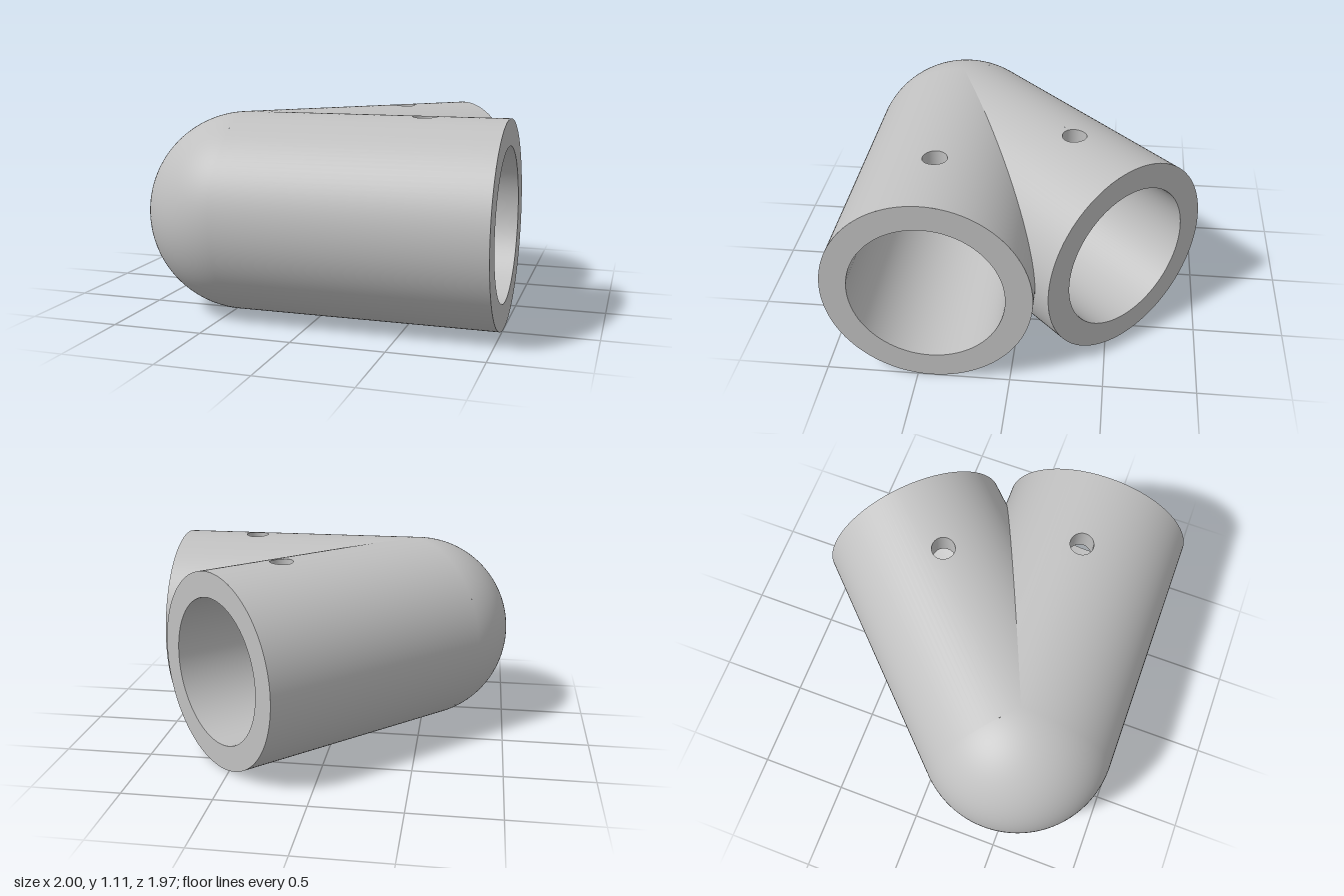
import * as THREE from 'three';
import { mergeGeometries } from 'three/addons/utils/BufferGeometryUtils.js';

const OUTER = 0.555, INNER = 0.4125;   // tube radii
const LENGTH = 1.445;                  // elbow centre to open end
const HOLE_T = 1.0, HOLE_R = 0.066;    // screw hole position along the axis, radius
const PATCH = 0.1;                     // half size of the wall patch around the hole
const SPREAD = Math.PI / 4;            // angle between the two tubes

// Grid surface: f(u, v) returns [position, normal]; each triangle is wound to face its normal
function grid(f, nu, nv) {
  const pos = [], nor = [], idx = [];
  for (let j = 0; j <= nv; j++) for (let i = 0; i <= nu; i++) {
    const [p, n] = f(i / nu, j / nv);
    pos.push(...p);
    nor.push(...n);
  }
  const vec = (arr, i) => new THREE.Vector3().fromArray(arr, i * 3);
  const tri = (a, b, c) => {
    const A = vec(pos, a), face = vec(pos, b).sub(A).cross(vec(pos, c).sub(A));
    const facing = face.dot(vec(nor, a).add(vec(nor, b)).add(vec(nor, c)));
    if (facing > 0) idx.push(a, b, c); else idx.push(a, c, b);
  };
  for (let j = 0; j < nv; j++) for (let i = 0; i < nu; i++) {
    const a = j * (nu + 1) + i, c = a + nu + 1;
    tri(a, a + 1, c + 1);
    tri(a, c + 1, c);
  }
  const g = new THREE.BufferGeometry();
  g.setAttribute('position', new THREE.Float32BufferAttribute(pos, 3));
  g.setAttribute('normal', new THREE.Float32BufferAttribute(nor, 3));
  g.setIndex(idx);
  return g;
}

// Tube skin along +x, mitred against its twin on the bisecting plane, with a round hole on top.
// side: which way the twin lies (1 = -z, -1 = +z); face: 1 outward, -1 inward
function tubeSkin(r, side, face) {
  const point = (t, phi) => {
    const y = Math.cos(phi), z = -side * Math.sin(phi);
    return [[t, r * y, r * z], [0, face * y, face * z]];
  };
  const start = phi => Math.max(0, r * Math.sin(phi)) / Math.tan(SPREAD / 2);
  const d = Math.asin(PATCH / r), mix = THREE.MathUtils.lerp;
  const strip = phiAt => (from, to, n) => grid((u, v) => {
    const phi = phiAt(u);
    return point(mix(from(phi), to, v), phi);
  }, n, 1);
  const around = strip(u => mix(d, 2 * Math.PI - d, u));
  const top = strip(u => mix(-d, d, u));
  // Square patch narrowing to the round hole
  const patch = grid((u, v) => {
    const a = u * 2 * Math.PI, c = Math.cos(a), s = Math.sin(a);
    const k = mix(PATCH / Math.max(Math.abs(c), Math.abs(s)), HOLE_R, v);
    return point(HOLE_T + k * c, Math.asin(k * s / r));
  }, 48, 2);
  return mergeGeometries([
    around(start, LENGTH, 120),
    top(start, HOLE_T - PATCH, 12),
    top(() => HOLE_T + PATCH, LENGTH, 12),
    patch,
  ]);
}

// Wall of the screw hole between the outer and inner skins
function holeWall() {
  return grid((u, v) => {
    const a = u * 2 * Math.PI, c = Math.cos(a), s = Math.sin(a);
    const w = HOLE_R * s, r = v ? INNER : OUTER;
    return [[HOLE_T + HOLE_R * c, Math.sqrt(r * r - w * w), w], [-c, 0, -s]];
  }, 48, 1);
}

// Spherical wedge closing the back of the elbow
function elbowSkin(r, face) {
  return grid((u, v) => {
    const a = Math.PI / 2 + u * (Math.PI - SPREAD), th = v * Math.PI;
    const n = [Math.cos(a) * Math.sin(th), Math.cos(th), Math.sin(a) * Math.sin(th)];
    return [n.map(k => k * r), n.map(k => k * face)];
  }, 48, 64);
}

export function createModel() {
  const grey = new THREE.MeshStandardMaterial({ color: 0xc0c0c0 });
  grey.name = 'grey';
  const model = new THREE.Group();
  model.name = 'pipeConnector';

  const add = (parent, name, geometry) => {
    const mesh = new THREE.Mesh(geometry, grey);
    mesh.name = name;
    parent.add(mesh);
  };

  const joint = new THREE.Group();
  joint.name = 'joint';
  joint.position.set(-0.445, OUTER, 0.43);
  model.add(joint);

  // Rounded elbow, solid outside and hollow inside
  add(joint, 'elbowOutside', elbowSkin(OUTER, 1));
  add(joint, 'elbowInside', elbowSkin(INNER, -1));

  // Straight tube and its angled twin
  for (const [name, side, turn] of [['straightTube', 1, 0], ['angledTube', -1, SPREAD]]) {
    const tube = new THREE.Group();
    tube.name = name;
    tube.rotation.y = turn;
    add(tube, name + 'Outside', tubeSkin(OUTER, side, 1));
    add(tube, name + 'Bore', tubeSkin(INNER, side, -1));
    add(tube, name + 'ScrewHole', holeWall());
    const rim = new THREE.RingGeometry(INNER, OUTER, 120);
    rim.rotateY(Math.PI / 2).translate(LENGTH, 0, 0);
    add(tube, name + 'Rim', rim);
    joint.add(tube);
  }
  return model;
}
